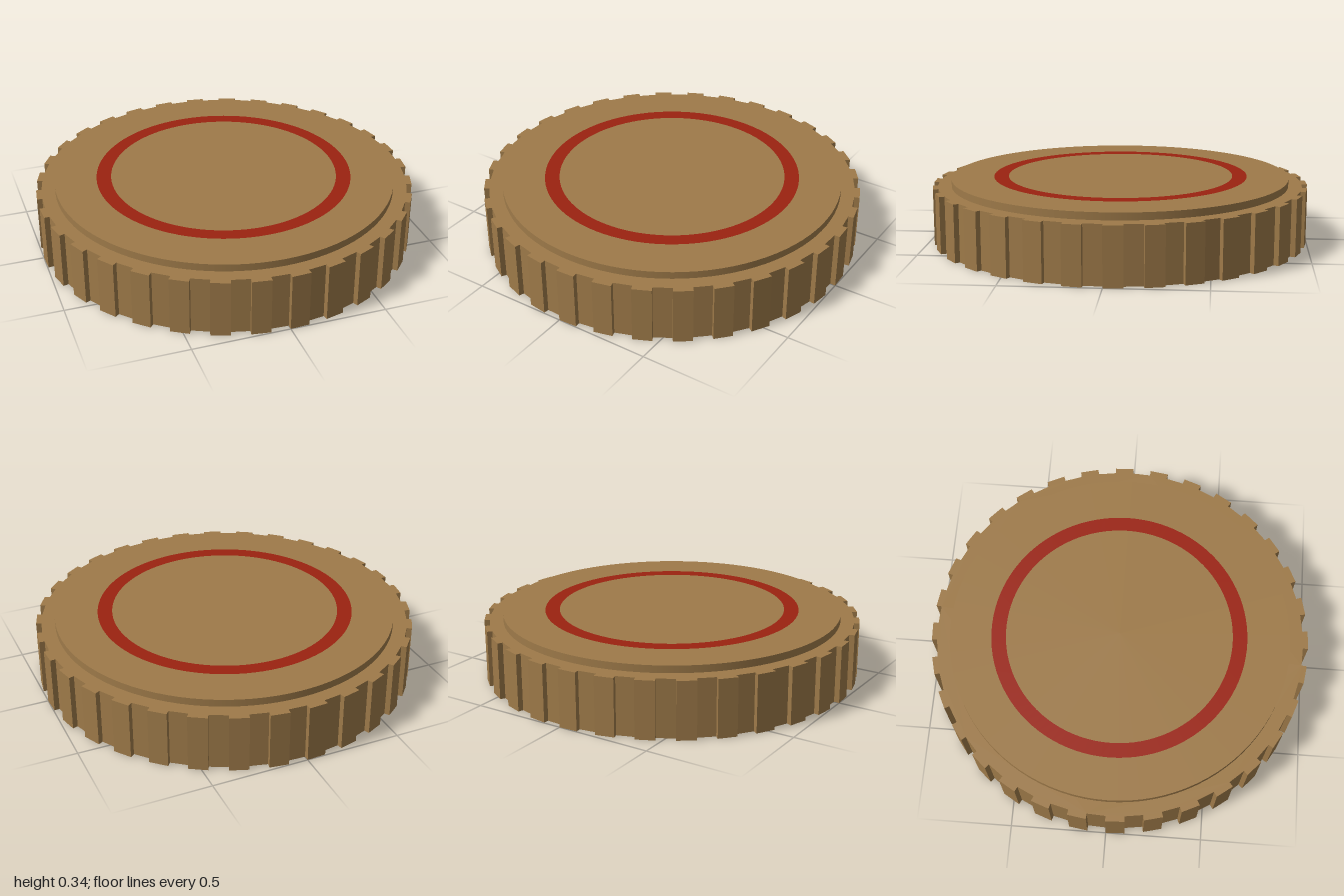
import * as THREE from 'three';

const TEETH = 32, OUTER = 1, INNER = 0.972;
const RIM_HEIGHT = 0.3, TOP = 0.338;

// Outline with alternating ridges and grooves, each half a pitch wide
function ridgedOutline() {
  const points = [];
  const step = Math.PI / TEETH;
  for (let i = 0; i < TEETH * 2; i++) {
    const r = i % 2 === 0 ? OUTER : INNER;
    for (const a of [i * step, (i + 1) * step]) {
      points.push(new THREE.Vector2(r * Math.sin(a), -r * Math.cos(a)));
    }
  }
  return new THREE.Shape(points);
}

export function createModel() {
  const group = new THREE.Group();
  const tan = new THREE.MeshStandardMaterial({ color: 0x9e7a49 });
  tan.name = 'tan';
  const red = new THREE.MeshStandardMaterial({ color: 0x9b2210 });
  red.name = 'red';

  const add = (name, geometry, material) => {
    const mesh = new THREE.Mesh(geometry, material);
    mesh.name = name;
    group.add(mesh);
    return mesh;
  };

  // Ridged body
  const body = new THREE.ExtrudeGeometry(ridgedOutline(), { depth: RIM_HEIGHT, bevelEnabled: false });
  body.rotateX(-Math.PI / 2);
  add('ridgedBody', body, tan);

  // Raised smooth disc on top
  const discHeight = TOP - RIM_HEIGHT;
  add('raisedDisc', new THREE.CylinderGeometry(0.9, 0.9, discHeight, 96), tan)
    .position.y = RIM_HEIGHT + discHeight / 2;

  // Painted ring
  const ring = new THREE.RingGeometry(0.6, 0.677, 96);
  ring.rotateX(-Math.PI / 2);
  add('paintedRing', ring, red).position.set(-0.002, TOP + 0.002, -0.003);

  return group;
}
